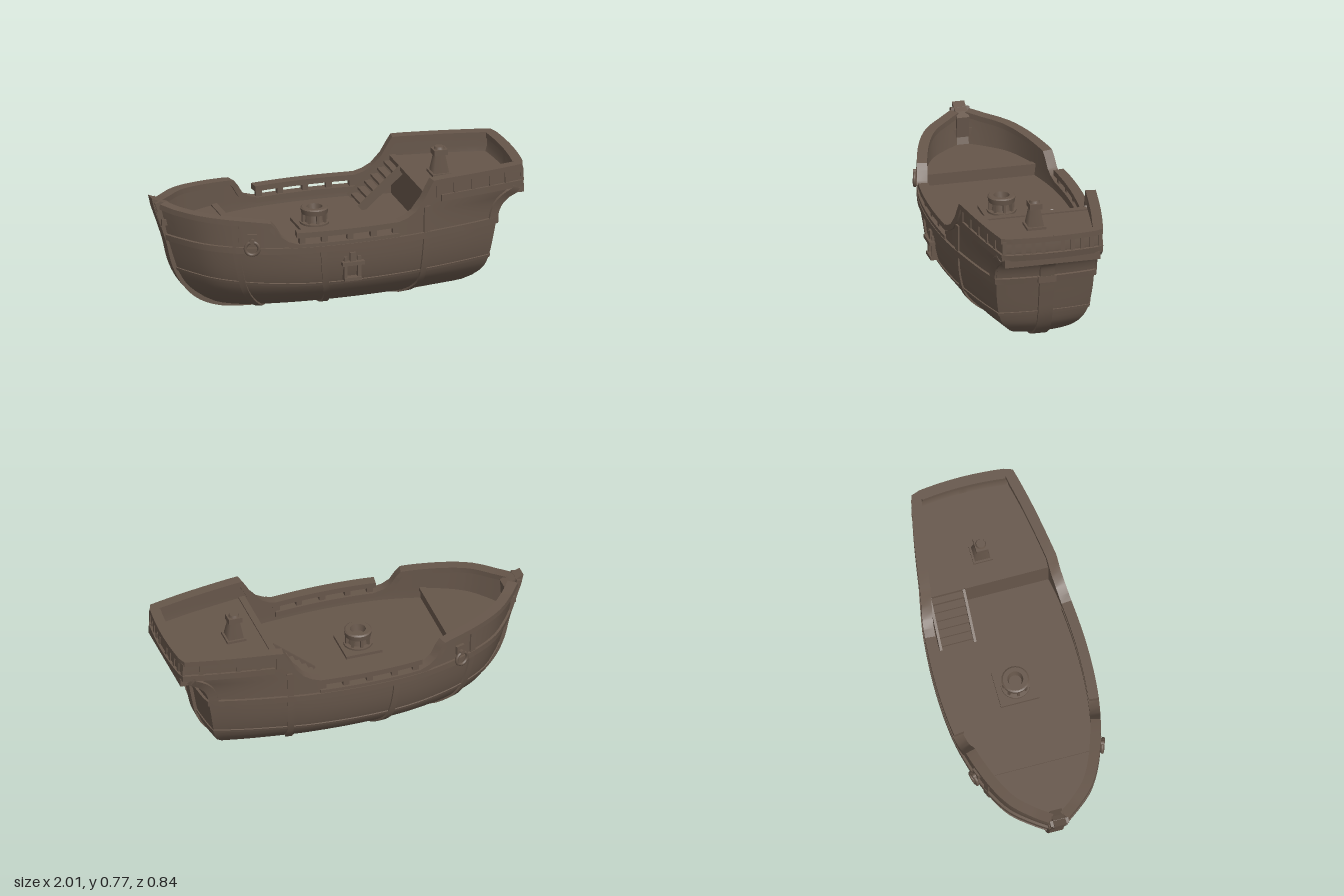
import * as THREE from 'three';
import { toCreasedNormals } from 'three/addons/utils/BufferGeometryUtils.js';

const wood = new THREE.MeshStandardMaterial({ color: 0x66564a, side: THREE.DoubleSide });
wood.name = 'dark wood';
const V = (x, y, z) => new THREE.Vector3(x, y, z);
const { lerp, clamp } = THREE.MathUtils;

// Table lookup, straight or smoothed
function table(rows, smooth) {
  const slope = (i) => {
    const a = rows[Math.max(i - 1, 0)], b = rows[Math.min(i + 1, rows.length - 1)];
    return (b[1] - a[1]) / (b[0] - a[0]);
  };
  return (x) => {
    x = clamp(x, rows[0][0], rows[rows.length - 1][0]);
    let i = 0;
    while (i < rows.length - 2 && x > rows[i + 1][0]) i++;
    const [x0, y0] = rows[i], [x1, y1] = rows[i + 1], h = x1 - x0, u = (x - x0) / h;
    if (!smooth) return lerp(y0, y1, u);
    const a = u * u * (3 - 2 * u);
    return lerp(y0, y1, a) + h * (slope(i) * u * (1 - u) ** 2 - slope(i + 1) * u * u * (1 - u));
  };
}

// Hull rules: plan half width, midsection fullness, stem and stern profiles, sheer height
const LEVELS = [.015, .025, .055, .12, .175, .24, .33, .42];
const byLevel = (vals) => table(LEVELS.map((y, i) => [y, vals[i]]), true);
const plan = table([[0, .035], [.03, .11], [.08, .21], [.15, .285], [.24, .343], [.36, .388], [.52, .403], [.69, .385], [.78, .358], [.9, .313], [1, .265]], true);
const fullness = byLevel([0, .25, .5, .74, .87, .94, .985, 1]);
const stemX = byLevel([-.55, -.6, -.68, -.77, -.82, -.855, -.885, -.91]);
const sternX = byLevel([.5, .58, .68, .76, .785, .8, .815, .83]);
const bowFlare = table([[.42, 0], [.55, -.03], [.65, -.05]]);
const sternFlare = table([[.42, 0], [.47, .01], [.52, .035], [.56, .08], [.59, .135], [.72, .14]], true);
const SHEER = [[-.91, .62], [-.86, .608], [-.45, .565], [-.43, .54], [-.4, .49], [-.36, .46], [-.3, .44], [.25, .44], [.251, .505], [.3, .52], [.35, .55], [.4, .61], [.44, .705], [.83, .705]];
const sheerAt = table(SHEER);
const tOf = (x) => (x + .91) / 1.74;
const sheer = (g) => sheerAt(-.91 + 1.74 * Math.min(g, 1));

// Hull point: g 0..1 runs from bow to stern corner, 1..2 across the transom to its middle
function hullPoint(y, g, s = 1) {
  const t = Math.min(g, 1), k = Math.max(0, g - 1);
  const x = lerp(stemX(y), sternX(y), t) + bowFlare(y) * Math.max(0, 1 - t / .2)
    + sternFlare(y) * Math.max(0, (t - .75) / .25) + .02 * (1 - (1 - k) ** 2);
  return V(x, y, s * plan(t) * fullness(y) * (1 - k));
}
function innerPoint(y, g, s = 1) {
  const p = hullPoint(y, g, s);
  return V(p.x * (1 - .035 * p.x ** 4), y, p.z * .91);
}
const wallPoint = (y, g, s) => hullPoint(y, g, s).lerp(innerPoint(y, g, s), .5);
function hullNormal(y, g, s) {
  const e = .004, g0 = clamp(g, e, 2 - e);
  const dg = hullPoint(y, g0 + e).sub(hullPoint(y, g0 - e));
  const dy = hullPoint(y + e, g0).sub(hullPoint(y - e, g0));
  const n = dg.cross(dy).normalize();
  n.z *= s;
  return n;
}

function build(positions, index, crease = .6) {
  const geo = new THREE.BufferGeometry();
  geo.setAttribute('position', new THREE.Float32BufferAttribute(positions, 3));
  geo.setIndex(index);
  return toCreasedNormals(geo, crease);
}
// Grid surface through fn(u, v)
function surface(us, vs, fn, flip = false) {
  const pos = [], idx = [], n = us.length;
  for (const v of vs) for (const u of us) pos.push(...fn(u, v).toArray());
  for (let j = 0; j < vs.length - 1; j++) for (let i = 0; i < n - 1; i++) {
    const a = j * n + i, b = a + 1, c = a + n, d = c + 1;
    idx.push(...(flip ? [a, c, b, b, c, d] : [a, b, c, b, d, c]));
  }
  return build(pos, idx);
}
// Rectangular timber swept along points; normals set which way is its thickness
function timber(pts, normals, width, thick) {
  const pos = [], idx = [], n = pts.length;
  pts.forEach((p, i) => {
    const T = pts[Math.min(i + 1, n - 1)].clone().sub(pts[Math.max(i - 1, 0)]).normalize();
    const B = T.clone().cross(normals[i]).normalize(), N = B.clone().cross(T);
    for (const [a, b] of [[-1, -1], [1, -1], [1, 1], [-1, 1]])
      pos.push(...p.clone().addScaledVector(B, a * width / 2).addScaledVector(N, b * thick / 2).toArray());
  });
  for (let i = 0; i < n - 1; i++) for (let k = 0; k < 4; k++) {
    const a = i * 4 + k, b = i * 4 + (k + 1) % 4;
    idx.push(a, b, a + 4, b, b + 4, a + 4);
  }
  const e = (n - 1) * 4;
  idx.push(0, 2, 1, 0, 3, 2, e, e + 1, e + 2, e, e + 2, e + 3);
  return build(pos, idx);
}
const range = (a, b, n) => Array.from({ length: n + 1 }, (_, i) => lerp(a, b, i / n));

export function createModel() {
  const ship = new THREE.Group();
  ship.name = 'ship';
  const add = (name, geo, x = 0, y = 0, z = 0, parent = ship) => {
    const m = new THREE.Mesh(geo, wood);
    m.name = name;
    m.position.set(x, y, z);
    parent.add(m);
    return m;
  };
  const box = (name, w, h, d, x, y, z, parent) => add(name, new THREE.BoxGeometry(w, h, d), x, y, z, parent);
  // Timber lying on the hull surface, along a list of [y, g]
  const strake = (name, list, s, width, thick) => add(name, timber(
    list.map(([y, g]) => hullPoint(y, g, s)), list.map(([y, g]) => hullNormal(y, g, s)), width, thick));

  const along = [...range(0, .2, 10), ...range(.225, 1, 30), ...range(1.1, 2, 9)];
  const topCols = [...new Set([...along, ...SHEER.map((r) => tOf(r[0]))])].sort((a, b) => a - b);
  const gap = tOf(.2505);

  for (const s of [1, -1]) {
    // Shell and bulwarks
    const rows = [.015, .019, ...LEVELS.slice(1), .04, .085, .15, .205, .285, .375].sort((a, b) => a - b);
    add('lowerHull', surface(along, rows, (g, y) => hullPoint(y, g, s), s < 0));
    add('bulwarkOutside', surface(topCols, range(0, 1, 9), (g, v) => hullPoint(lerp(.42, sheer(g), v), g, s), s < 0));
    add('bulwarkInside', surface(topCols, range(0, 1, 5), (g, v) => innerPoint(lerp(.39, sheer(g), v), g, s), s > 0));

    // Cap rails along the sheer
    for (const cols of [topCols.filter((g) => g < gap), topCols.filter((g) => g > gap)]) {
      const pts = cols.map((g) => wallPoint(sheer(g), g, s));
      add('capRail', timber(pts, pts.map(() => V(0, 1, 0)), .055, .03));
    }

    // Wale, lower strake, poop band
    strake('wale', along.map((g) => [.42 + .025 * Math.max(0, 1 - g / .4) ** 2, g]), s, .034, .026);
    strake('lowerStrake', along.map((g) => [.21 + .05 * Math.max(0, 1 - g / .5) ** 2 + .015 * clamp(g - .6, 0, .4), g]), s, .016, .012);
    strake('poopBand', along.filter((g) => g > .77).map((g) => [.612, g]), s, .036, .024);

    // Ribs, stern corner posts and poop staves
    for (const [x, top] of [[-.62, .59], [-.17, .43], [.41, .58]])
      strake('rib', range(.02, top, 24).map((y) => [y, tOf(x)]), s, .034, .02);
    strake('sternCornerPost', range(.42, .6, 10).map((y) => [y, .985]), s, .05, .025);
    strake('sternInnerPost', range(.42, .57, 10).map((y) => [y, 1.93]), s, .014, .016);
    for (const g of [.785, .83, .875, .92, .96, 1.02, 1.2, 1.4, 1.6, 1.8])
      strake('poopStave', [[.62, g], [.7, g]], s, .022, .014);

    // Open waist railing
    const railCols = range(tOf(-.31), tOf(.27), 14);
    add('waistRail', timber(railCols.map((g) => wallPoint(.505, g, s)), railCols.map(() => V(0, 1, 0)), .055, .03));
    for (const x of [-.28, -.16, -.02, .11, .235]) {
      const p = wallPoint(.47, tOf(x), s);
      box('railPost', .032, .07, .03, p.x, p.y, p.z);
    }

    // Mooring ring at the bow
    const ring = new THREE.Group(), rp = hullPoint(.45, tOf(-.54), s);
    ring.name = 'mooringRing';
    ring.position.copy(rp);
    ring.rotation.y = -s * .34;
    ship.add(ring);
    box('ringPlate', .05, .05, .02, 0, .045, s * .006, ring);
    add('ringLug', new THREE.CylinderGeometry(.014, .014, .035, 10).rotateX(Math.PI / 2), 0, .035, s * .016, ring);
    add('ring', new THREE.TorusGeometry(.036, .009, 8, 20), 0, -.005, s * .024, ring);
    box('hawseBlock', .05, .035, .035, -.925, .53, s * .035);

    // Side bracket amidships
    const bz = s * hullPoint(.31, tOf(-.01)).z;
    for (const x of [-.048, .028]) box('bracketPost', .018, .13, .03, x, .295, s * bz);
    box('bracketFoot', .094, .018, .035, -.01, .235, s * (bz - .006));
    box('bracketShelf', .12, .02, .055, -.01, .325, s * (bz + .006));
    box('bracketLug', .03, .055, .03, -.01, .355, s * (bz + .005));
  }

  // Keel, stem and sternpost
  const keel = new THREE.CatmullRomCurve3([[-.97, .63], [-.93, .5], [-.905, .42], [-.87, .28], [-.82, .18], [-.74, .095], [-.62, .043], [-.4, .023], [0, .018],
    [.5, .02], [.66, .045], [.755, .105], [.805, .19], [.833, .32], [.85, .42], [.868, .5], [.91, .555]].map(([x, y]) => V(x, y, 0))).getPoints(90);
  add('keel', timber(keel, keel.map((p) => V(p.x, p.y - .5, 0)), .078, .036));
  const head = new THREE.Shape([[-1, .665], [-.985, .6], [-.95, .5], [-.9, .5], [-.89, .615], [-.93, .635]].map((p) => new THREE.Vector2(...p)));
  add('stemHead', new THREE.ExtrudeGeometry(head, { depth: .066, bevelEnabled: false }), 0, 0, -.033);
  box('stemCollar', .03, .05, .1, -.965, .62, 0).rotation.z = .3;
  box('sternCounter', .07, .045, .52, .95, .578, 0);
  box('sternpostCap', .03, .036, .1, .858, .42, 0);

  // Decks, step and bulkhead
  const deck = (name, y, cols) => add(name, surface(cols, [1, -1], (g, s) => innerPoint(y, g, s)));
  deck('mainDeck', .4, range(tOf(-.56), tOf(.47), 24));
  deck('foredeck', .46, range(0, tOf(-.55), 14));
  deck('poopDeck', .61, [...range(tOf(.44), 1, 8), ...range(1.1, 2, 9)]);
  box('foredeckStep', .02, .065, .61, -.55, .43, 0);
  box('foredeckBeam', .035, .02, .61, -.55, .457, 0);
  box('poopBulkhead', .02, .21, .65, .45, .503, 0);
  box('poopBeam', .035, .024, .65, .445, .606, 0);

  // Stairs up to the poop
  for (let i = 0; i < 6; i++) box('stairTread', .04, .014, .18, .235 + i * .036, .422 + i * .032, -.235);
  for (const z of [-.325, -.14]) {
    const ends = [V(.21, .405, z), V(.44, .605, z)];
    add('stairStringer', timber(ends, ends.map(() => V(0, 1, 0)), .014, .045));
  }

  // Capstan
  const capstan = new THREE.Group();
  capstan.name = 'capstan';
  capstan.position.set(-.09, .4, 0);
  ship.add(capstan);
  box('capstanBase', .2, .016, .21, 0, .008, 0, capstan);
  const profile = [[.078, .014], [.078, .026], [.056, .028], [.048, .07], [.07, .072], [.074, .1], [.066, .106], [.042, .106], [.034, .07], [0, .07]];
  add('capstanDrum', toCreasedNormals(new THREE.LatheGeometry(profile.map((p) => new THREE.Vector2(...p)), 24), .5), 0, 0, 0, capstan);
  for (let i = 0; i < 8; i++) {
    const a = i * Math.PI / 4;
    box('capstanWhelp', .018, .05, .014, .06 * Math.cos(a), .048, -.06 * Math.sin(a), capstan).rotation.y = a;
  }

  // Tapered post on the poop
  box('postBase', .105, .016, .105, .6, .616, 0);
  add('taperedPost', new THREE.CylinderGeometry(.036, .06, .1, 4).rotateY(Math.PI / 4).toNonIndexed(), .6, .67, 0);
  box('postHead', .076, .03, .066, .6, .735, 0);
  add('postCap', new THREE.CylinderGeometry(.024, .03, .016, 16), .6, .755, 0);
  return ship;
}
